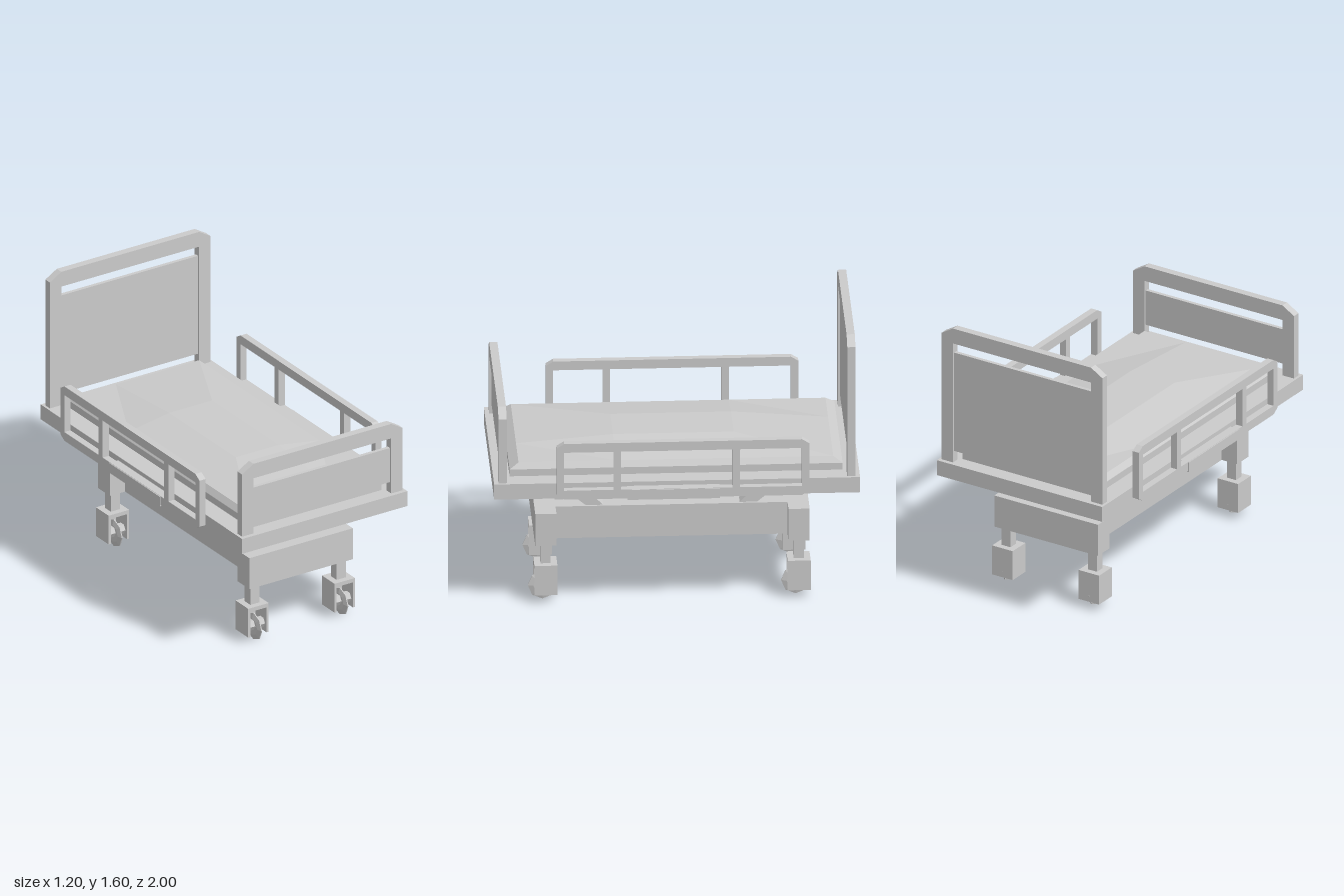
import * as THREE from 'three';

const mat = new THREE.MeshStandardMaterial({ color: 0xcccccc, flatShading: true, side: THREE.DoubleSide });

function add(parent, name, geo) {
  const m = new THREE.Mesh(geo, mat);
  m.name = name;
  parent.add(m);
  return m;
}

// box given by its extents
function box(parent, name, x0, x1, y0, y1, z0, z1) {
  const g = new THREE.BoxGeometry(x1 - x0, y1 - y0, z1 - z0);
  g.translate((x0 + x1) / 2, (y0 + y1) / 2, (z0 + z1) / 2);
  return add(parent, name, g);
}

const shapeOf = (pts) => new THREE.Shape(pts.map(([a, b]) => new THREE.Vector2(a, b)));
const extrude = (shape, depth) => new THREE.ExtrudeGeometry(shape, { depth, bevelEnabled: false });

// outline drawn in (z, y), extruded along x from x0 to x1
function sideExtrude(shape, x0, x1) {
  return extrude(shape, x1 - x0).rotateY(-Math.PI / 2).translate(x1, 0, 0);
}

// upright end frame with chamfered corners and an inset panel
function endBoard(parent, name, z, top, shoulder, innerTop, panelTop) {
  const g = new THREE.Group();
  g.name = name;
  parent.add(g);
  const frame = shapeOf([
    [-0.525, 0.79], [-0.45, 0.79], [-0.45, innerTop], [0.45, innerTop], [0.45, 0.79], [0.525, 0.79],
    [0.525, shoulder], [0.45, top], [-0.45, top], [-0.525, shoulder],
  ]);
  add(g, 'boardFrame', extrude(frame, 0.045).translate(0, 0, z - 0.0225));
  box(g, 'boardPanel', -0.45, 0.45, 0.855, panelTop, z - 0.011, z + 0.011);
}

// mattress: straight sides, chamfered rim and a softly raised middle
function mattress(parent) {
  const ring = (x, y, z) => [[-x, y, z], [x, y, z], [x, y, -z], [-x, y, -z]];
  const rings = [ring(0.43, 0.79, 0.91), ring(0.43, 0.83, 0.91), ring(0.405, 0.862, 0.86)];
  const pos = [];
  const quad = (a, b, c, d) => pos.push(...a, ...b, ...c, ...a, ...c, ...d);
  for (let r = 0; r < 2; r++) {
    for (let i = 0; i < 4; i++) {
      const j = (i + 1) % 4;
      quad(rings[r][i], rings[r][j], rings[r + 1][j], rings[r + 1][i]);
    }
  }
  const xs = [-0.405, -0.14, 0.14, 0.405], zs = [-0.86, -0.33, 0.33, 0.86];
  const inner = (i) => i === 1 || i === 2;
  const p = (i, k) => [xs[i], inner(i) && inner(k) ? 0.905 : 0.862, zs[k]];
  for (let i = 0; i < 3; i++) {
    for (let k = 0; k < 3; k++) quad(p(i, k + 1), p(i + 1, k + 1), p(i + 1, k), p(i, k));
  }
  const g = new THREE.BufferGeometry();
  g.setAttribute('position', new THREE.Float32BufferAttribute(pos, 3));
  g.computeVertexNormals();
  add(parent, 'mattress', g);
}

// guard rail with three openings, and the bracket that holds it to the deck
function sideRail(parent, s) {
  const g = new THREE.Group();
  g.name = s > 0 ? 'leftRail' : 'rightRail';
  parent.add(g);
  const rail = shapeOf([
    [-0.68, 0.715], [0.62, 0.715], [0.66, 0.74], [0.66, 1.02],
    [0.62, 1.045], [-0.68, 1.045], [-0.72, 1.02], [-0.72, 0.74],
  ]);
  for (const [a, b] of [[-0.68, -0.34], [-0.3, 0.31], [0.35, 0.62]]) {
    rail.holes.push(shapeOf([[a, 0.768], [a, 0.993], [b, 0.993], [b, 0.768]]));
  }
  const x = s * 0.575;
  add(g, 'railFrame', sideExtrude(rail, x - 0.02, x + 0.02));
  const c = s * 0.57;
  box(g, 'railBracket', c - 0.03, c + 0.03, 0.708, 0.766, -0.23, 0.275);
}

// caster: stem, hood open at the front and below, axle and thin faceted wheel
function caster(parent, x, z) {
  const g = new THREE.Group();
  g.name = 'caster';
  g.position.set(x, 0, z);
  parent.add(g);
  box(g, 'casterStem', -0.03, 0.03, 0.21, 0.34, -0.028, 0.028);
  box(g, 'hoodTop', -0.067, 0.067, 0.197, 0.22, -0.063, 0.063);
  box(g, 'hoodBack', -0.067, 0.067, 0.045, 0.197, -0.063, -0.047);
  for (const s of [-1, 1]) {
    box(g, 'hoodSide', s * 0.06 - 0.007, s * 0.06 + 0.007, 0.045, 0.197, -0.047, 0.063);
  }
  const axle = new THREE.CylinderGeometry(0.032, 0.032, 0.11, 6).rotateZ(Math.PI / 2);
  add(g, 'axle', axle).position.set(0, 0.093, 0.016);
  const profile = [[0, -0.011], [0.05, -0.011], [0.08, -0.003], [0.08, 0.003], [0.05, 0.011], [0, 0.011]];
  const wheel = new THREE.LatheGeometry(profile.map(([r, y]) => new THREE.Vector2(r, y)), 8);
  add(g, 'wheel', wheel.rotateZ(Math.PI / 2)).position.set(0, 0.08, 0.016);
}

export function createModel() {
  const bed = new THREE.Group();
  bed.name = 'hospitalBed';

  // deck, mattress and end boards
  box(bed, 'deck', -0.54, 0.54, 0.7, 0.79, -1, 1);
  mattress(bed);
  endBoard(bed, 'headboard', -0.953, 1.6, 1.555, 1.51, 1.45);
  endBoard(bed, 'footboard', 0.953, 1.213, 1.168, 1.125, 1.062);

  // wheeled base
  for (const e of [-1, 1]) {
    const z = 0.015 + e * 0.692;
    box(bed, 'baseCrossBeam', -0.338, 0.338, 0.335, 0.523, z - 0.058, z + 0.058);
    for (const s of [-1, 1]) caster(bed, s * 0.282, z);
  }

  // rails, long beams and slanted struts on both sides
  for (const s of [-1, 1]) {
    sideRail(bed, s);
    const x = s * 0.188;
    box(bed, 'baseLongBeam', x - 0.05, x + 0.05, 0.335, 0.523, -0.62, 0.65);
    for (const e of [-1, 1]) {
      const strut = shapeOf([[0.37, 0.52], [0.465, 0.52], [0.685, 0.702], [0.555, 0.702]].map(([z, y]) => [0.015 + e * z, y]));
      add(bed, 'strut', sideExtrude(strut, x - 0.037, x + 0.037));
    }
  }
  return bed;
}
